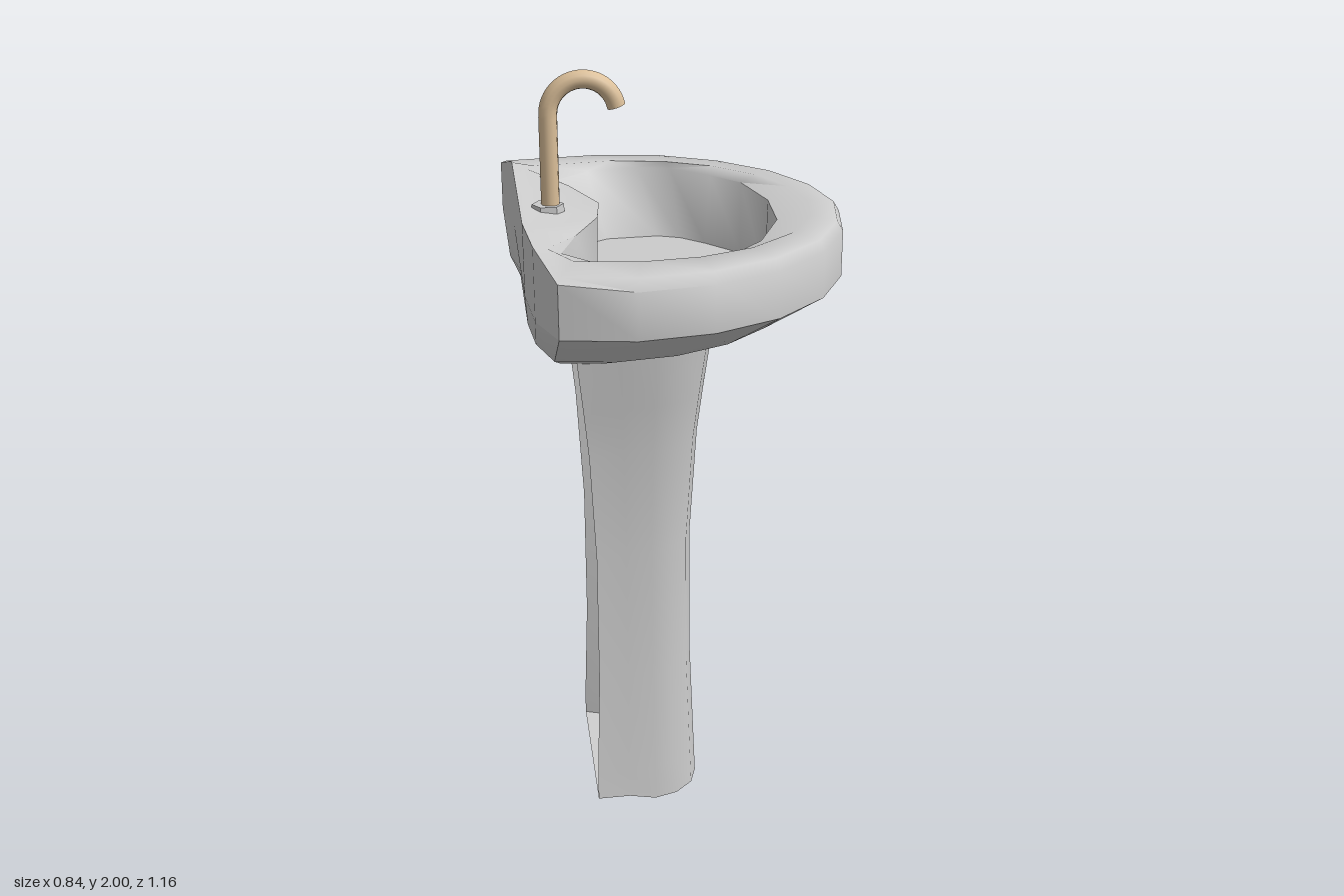
import * as THREE from 'three';
import { toCreasedNormals } from 'three/addons/utils/BufferGeometryUtils.js';

const ceramic = new THREE.MeshStandardMaterial({ color: 0xcccccc, side: THREE.DoubleSide });
const brass = new THREE.MeshStandardMaterial({ color: 0xdcc09a });

// Skin a list of rows (each a list of [x, y, z]) running from inside/top to outside/bottom
function loft(rows, closed, crease) {
  const pos = [];
  const n = rows[0].length;
  const same = (p, q) => p.every((v, k) => v === q[k]);
  const tri = (p, q, r) => {
    if (!same(p, q) && !same(q, r) && !same(p, r)) pos.push(...p, ...q, ...r);
  };
  for (let j = 0; j < rows.length - 1; j++) {
    for (let i = 0; i < (closed ? n : n - 1); i++) {
      const k = (i + 1) % n;
      const a = rows[j][i], b = rows[j][k], c = rows[j + 1][i], d = rows[j + 1][k];
      tri(a, b, c);
      tri(b, d, c);
    }
  }
  const geo = new THREE.BufferGeometry();
  geo.setAttribute('position', new THREE.Float32BufferAttribute(pos, 3));
  return toCreasedNormals(geo, crease);
}

function part(parent, name, geo, material) {
  const mesh = new THREE.Mesh(geo, material);
  mesh.name = name;
  parent.add(mesh);
  return mesh;
}

// Plan outlines [x, z]: around the curved front, then back along the wall side
const outer = [[-.42, -.55], [-.16, -.58], [.02, -.555], [.18, -.47], [.31, -.34], [.39, -.18],
  [.42, 0], [.39, .18], [.31, .34], [.18, .47], [.02, .55], [-.16, .58], [-.335, .55],
  [-.38, .39], [-.395, .2], [-.395, 0], [-.395, -.2], [-.395, -.4]];
const inner = [[-.33, -.44], [-.12, -.47], [.03, -.44], [.15, -.375], [.25, -.27], [.315, -.14],
  [.34, 0], [.315, .14], [.25, .27], [.13, .38], [0, .435], [-.14, .453], [-.29, .43],
  [-.345, .36], [-.375, .2], [-.38, 0], [-.375, -.2], [-.36, -.38]];
const bowl = [[-.28, -.35], [-.19, -.43], [-.05, -.455], [.04, -.435], [.14, -.345], [.21, -.26],
  [.25, -.08], [.24, .1], [.17, .27], [.08, .375], [0, .415], [-.12, .43], [-.23, .4],
  [-.31, .31], [-.265, .17], [-.2, .02], [-.185, -.11], [-.25, -.29]];
const floor = [[-.24, -.31], [-.14, -.375], [0, -.385], [.06, -.36], [.12, -.3], [.2, -.2],
  [.235, -.04], [.21, .11], [.16, .25], [.07, .365], [0, .4], [-.11, .41], [-.22, .37],
  [-.305, .29], [-.26, .17], [-.205, .03], [-.205, -.1], [-.23, -.26]];

// Lift an outline to height y, with separate heights for the two corners and the back edge
function lift(outline, y, yBack = y, yCorner = y) {
  return outline.map(([x, z], i) => [x, i > 12 ? yBack : (i === 0 || i === 12) ? yCorner : y, z]);
}

function addBasin(group) {
  const basin = new THREE.Group();
  basin.name = 'basin';
  group.add(basin);
  const shoulder = outer.map(([x, z], i) => [
    THREE.MathUtils.lerp(inner[i][0], x, 0.82), THREE.MathUtils.lerp(inner[i][1], z, 0.82)]);
  const band = lift(outer, 1.51, 1.5);

  // Bowl, deck, rounded rim and back wall
  part(basin, 'bowlAndRim', loft([
    lift(floor.map(() => [0, 0]), 1.46),
    lift(floor, 1.46),
    lift(bowl, 1.637),
    lift(inner, 1.655, 1.665),
    lift(shoulder, 1.65, 1.677, 1.65),
    lift(outer, 1.625, 1.68, 1.64),
    band,
  ], true, 1.06), ceramic);

  // Underside tapering down to the pedestal
  const taper = (x0, sx, sz) => outer.map(([x, z]) => [x0 + (x + 0.36) * sx, z * sz]);
  part(basin, 'underside', loft([
    band,
    lift(taper(-.36, .81, .76), 1.41),
    lift(taper(-.33, .54, .48), 1.345),
    lift(outer.map(() => [-.12, 0]), 1.345),
  ], true, 0.5), ceramic);
}

function addPedestal(group) {
  const pedestal = new THREE.Group();
  pedestal.name = 'pedestal';
  group.add(pedestal);
  // Half section: [depth fraction, width fraction, foot height]
  const half = [[0, 1, .03], [.3, .93, .02], [.55, .89, 0], [.76, .8, 0], [.92, .6, 0], [.985, .33, 0], [1, 0, 0]];
  const section = (y, back, front, width, side) =>
    half.map(([u, w, foot]) => [back + (front - back) * u, y === 0 ? foot : y, side * width * w]);
  const row = (...s) => [...section(...s, -1), ...section(...s, 1).reverse().slice(1)];

  // Levels: y, back x, front x, half width
  const levels = [[1.36, -.28, .088, .28], [1.2, -.263, .066, .25], [1.07, -.25, .05, .225], [.77, -.235, .032, .203],
    [.4, -.235, .034, .203], [.1, -.245, .046, .215], [0, -.245, .05, .22]];
  part(pedestal, 'pedestalShell', loft(levels.map((l) => row(...l)), false, 0.7), ceramic);

  // Foot plate closing the base
  const foot = levels[levels.length - 1];
  part(pedestal, 'footPlate', loft([section(...foot, -1), section(...foot, 1)], false, 0.3), ceramic);
}

function addFaucet(group) {
  const faucet = new THREE.Group();
  faucet.name = 'faucet';
  group.add(faucet);

  const base = part(faucet, 'faucetBase', new THREE.CylinderGeometry(.04, .042, .02, 6).toNonIndexed(), ceramic);
  base.geometry.computeVertexNormals();
  base.rotation.y = Math.PI / 2;
  base.position.set(-.322, 1.66, 0);

  // Straight riser followed by a swan-neck arc
  const path = new THREE.CurvePath();
  const r = 0.085, cx = -.23, cy = 1.892;
  path.add(new THREE.LineCurve3(new THREE.Vector3(cx - r, 1.65, 0), new THREE.Vector3(cx - r, cy, 0)));
  const arc = [];
  for (let i = 0; i <= 12; i++) {
    const a = Math.PI - (i / 12) * (Math.PI - 0.2);
    arc.push(new THREE.Vector3(cx + r * Math.cos(a), cy + r * Math.sin(a), 0));
  }
  path.add(new THREE.CatmullRomCurve3(arc));
  part(faucet, 'spout', new THREE.TubeGeometry(path, 48, .023, 12), brass);
  const tip = part(faucet, 'spoutTip', new THREE.CircleGeometry(.023, 12), brass);
  tip.position.copy(arc[12]);
  tip.lookAt(arc[12].clone().multiplyScalar(2).sub(arc[11]));

  // Angled valve with a cross handle
  const valve = new THREE.Group();
  valve.name = 'valve';
  valve.position.set(-.315, 1.69, -.01);
  valve.rotation.x = -0.9;
  faucet.add(valve);
  part(valve, 'valveStem', new THREE.CylinderGeometry(.009, .012, .07, 10), brass).position.y = .035;
  part(valve, 'valveCollar', new THREE.CylinderGeometry(.015, .015, .012, 10), brass).position.y = .045;
  part(valve, 'handleHub', new THREE.SphereGeometry(.011, 10, 8), brass).position.y = .073;
  for (let i = 0; i < 2; i++) {
    const bar = part(valve, 'handleBar', new THREE.CapsuleGeometry(.005, .045, 3, 8), brass);
    bar.position.y = .07;
    bar.rotation.set(Math.PI / 2, 0, Math.PI / 4 + i * Math.PI / 2);
  }
}

export function createModel() {
  const group = new THREE.Group();
  group.name = 'pedestalSink';
  addBasin(group);
  addPedestal(group);
  addFaucet(group);
  return group;
}
